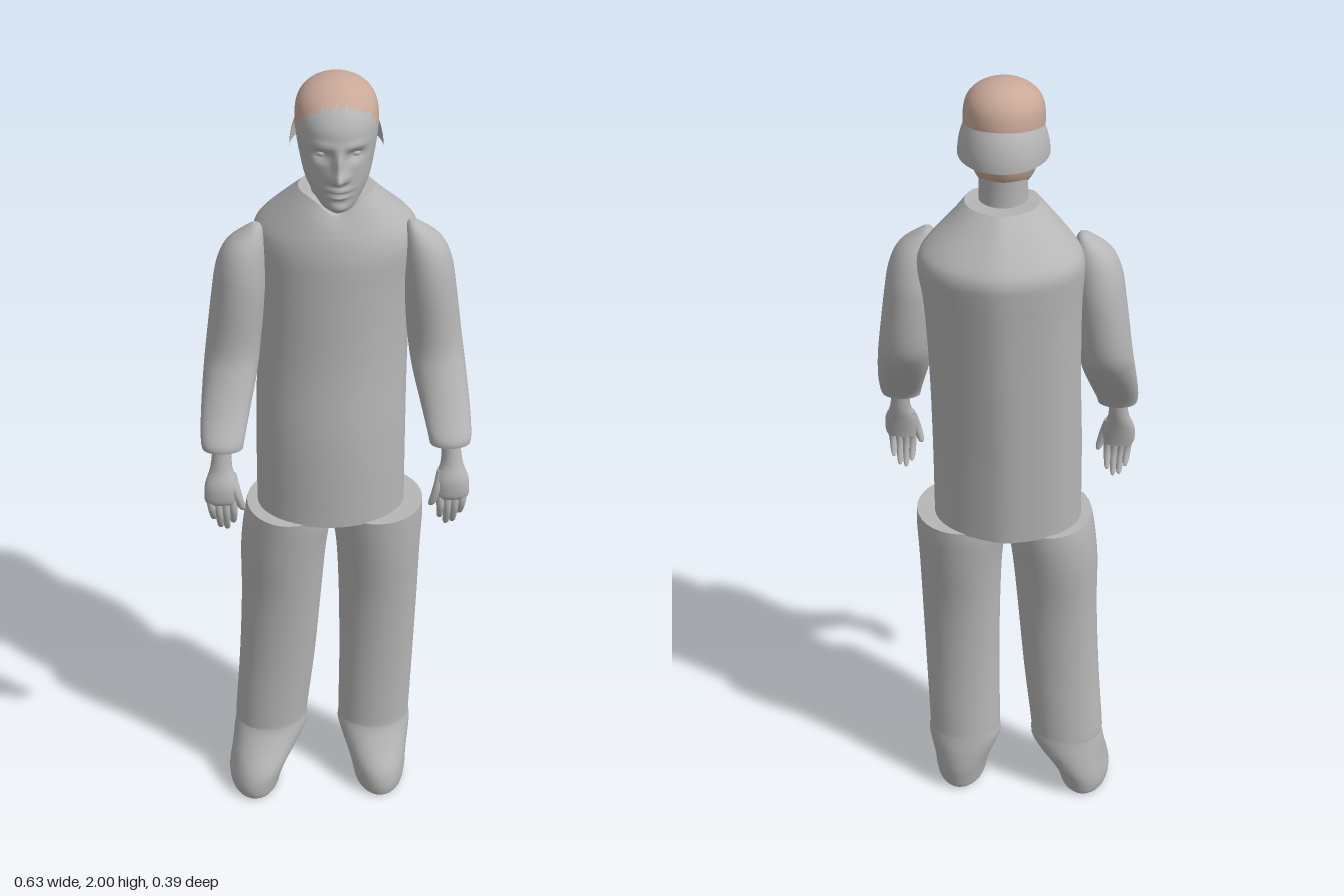
import * as THREE from 'three';

const grey = new THREE.MeshStandardMaterial({ color: 0xb6b6b6, side: THREE.DoubleSide });
grey.name = 'plain grey';
const hairTone = new THREE.MeshStandardMaterial({ color: 0xc9a898, side: THREE.DoubleSide });
hairTone.name = 'hair tan';

// Smooth interpolation through the stations at position i + f
function spline(st, i, f) {
  const at = (k) => st[Math.min(Math.max(k, 0), st.length - 1)];
  const [a, b, c, d] = [at(i - 1), at(i), at(i + 1), at(i + 2)];
  return b.map((_, k) => {
    const m0 = (c[k] - a[k]) / 2, m1 = (d[k] - b[k]) / 2;
    const f2 = f * f, f3 = f2 * f;
    return (2 * f3 - 3 * f2 + 1) * b[k] + (f3 - 2 * f2 + f) * m0
      + (3 * f2 - 2 * f3) * c[k] + (f3 - f2) * m1;
  });
}

// Closed body through level rings listed upward: [y, xMin, xMax, zBack, zFront].
// warp moves each point; isHair sorts faces into the second material.
function loft(name, st, { seg = 32, steps = 4, warp, isHair } = {}) {
  const rows = [];
  for (let i = 0; i < st.length - 1; i++)
    for (let s = 0; s < steps; s++) rows.push(spline(st, i, s / steps));
  rows.push(st[st.length - 1]);
  const pts = [];
  for (const [y, xl, xr, zb, zf] of rows) {
    for (let j = 0; j < seg; j++) {
      const t = (j / seg) * Math.PI * 2;
      const p = new THREE.Vector3(
        (xl + xr) / 2 + Math.sin(t) * (xr - xl) / 2, y,
        (zb + zf) / 2 + Math.cos(t) * (zf - zb) / 2);
      if (warp) warp(p, t);
      pts.push(p);
    }
  }
  const plain = [], hair = [];
  for (let i = 0; i < rows.length - 1; i++) {
    for (let j = 0; j < seg; j++) {
      const a = i * seg + j, b = i * seg + (j + 1) % seg, c = b + seg, d = a + seg;
      const mid = pts[a].clone().add(pts[c]).multiplyScalar(0.5);
      (isHair && isHair(mid) ? hair : plain).push(a, b, c, a, c, d);
    }
  }
  // End discs with their own vertices keep the rims sharp
  for (const top of [false, true]) {
    const from = top ? (rows.length - 1) * seg : 0;
    const rim = pts.slice(from, from + seg).map((p) => p.clone());
    const centre = rim.reduce((m, p) => m.addScaledVector(p, 1 / seg), new THREE.Vector3());
    const o = pts.length;
    pts.push(...rim, centre);
    for (let j = 0; j < seg; j++) {
      const k = (j + 1) % seg;
      const list = top && isHair ? hair : plain;
      list.push(o + seg, o + (top ? j : k), o + (top ? k : j));
    }
  }
  const geo = new THREE.BufferGeometry().setFromPoints(pts);
  geo.setIndex([...plain, ...hair]);
  geo.computeVertexNormals();
  geo.addGroup(0, plain.length, 0);
  geo.addGroup(plain.length, hair.length, 1);
  const mesh = new THREE.Mesh(geo, isHair ? [grey, hairTone] : grey);
  mesh.name = name;
  return mesh;
}

const bump = (x, y, cx, cy, sx, sy) => Math.exp(-(((x - cx) / sx) ** 2) - ((y - cy) / sy) ** 2);

function makeHead() {
  const head = new THREE.Group();
  head.name = 'head';
  // Skull and face, modelled around x = 0
  const skull = [
    [1.722, -0.02, 0.02, 0.07, 0.125], [1.735, -0.038, 0.038, 0.045, 0.138],
    [1.76, -0.058, 0.058, -0.015, 0.143], [1.79, -0.072, 0.072, -0.045, 0.146],
    [1.83, -0.081, 0.081, -0.06, 0.148], [1.88, -0.089, 0.089, -0.068, 0.15],
    [1.92, -0.091, 0.091, -0.07, 0.146], [1.955, -0.084, 0.084, -0.062, 0.125],
    [1.98, -0.064, 0.064, -0.042, 0.095], [1.995, -0.034, 0.034, -0.012, 0.062],
    [2.0, -0.008, 0.008, 0.015, 0.035]];
  head.add(loft('face and hair', skull, {
    seg: 96, steps: 6,
    warp: (p) => {
      if (p.z < 0.06) return;
      const x = Math.abs(p.x), y = p.y;
      p.z += 0.036 * bump(x, y, 0, 1.817, 0.013, 0.013)      // nose tip
        + 0.02 * bump(x, y, 0, 1.845, 0.01, 0.026)           // nose bridge
        + 0.008 * bump(x, y, 0.017, 1.812, 0.008, 0.009)     // nostrils
        - 0.017 * bump(x, y, 0.036, 1.862, 0.019, 0.012)     // eye sockets
        + 0.006 * bump(x, y, 0.034, 1.885, 0.028, 0.008)     // brows
        + 0.011 * bump(x, y, 0, 1.784, 0.024, 0.006)         // upper lip
        + 0.009 * bump(x, y, 0, 1.768, 0.021, 0.006)         // lower lip
        - 0.004 * bump(x, y, 0, 1.776, 0.03, 0.003)          // mouth line
        + 0.007 * bump(x, y, 0, 1.739, 0.022, 0.012);        // chin
    },
    isHair: ({ x, y, z }) => {
      const strand = 0.004 * Math.sin(x * 260) + 0.003 * Math.sin(x * 610);
      if (y > 1.955) return z < 0.115 + strand;
      if (y > 1.86) return z < 0.03 + (y - 1.86) * 0.9 + strand;
      return y > 1.757 && z < 0.0;
    },
  }));
  for (const s of [-1, 1]) {
    const eye = new THREE.Mesh(new THREE.SphereGeometry(0.011, 16, 12), grey);
    eye.name = 'eye';
    eye.scale.set(1.15, 0.75, 1);
    eye.position.set(s * 0.036, 1.862, 0.118);
    head.add(eye);
  }
  // Half shell around the back of the head
  const shell = new THREE.Mesh(
    new THREE.SphereGeometry(1, 32, 16, Math.PI, Math.PI, 0, Math.PI / 2), grey);
  shell.name = 'rear head band';
  shell.scale.set(0.103, 0.137, 0.125);
  shell.position.set(0, 1.833, 0.028);
  head.add(shell);
  head.add(loft('neck', [
    [1.66, -0.062, 0.062, -0.05, 0.075], [1.72, -0.056, 0.056, -0.042, 0.068],
    [1.8, -0.055, 0.055, -0.045, 0.07]]));
  head.position.x = 0.012;
  return head;
}

// Arm in the +x position; the other is its mirror
function makeArm(name, side) {
  const arm = new THREE.Group();
  arm.name = name;
  arm.add(loft('sleeve', [
    [1.125, 0.218, 0.313, 0.102, 0.164], [1.145, 0.214, 0.316, 0.09, 0.162],
    [1.2, 0.2, 0.314, 0.047, 0.13], [1.28, 0.18, 0.306, -0.015, 0.096],
    [1.35, 0.17, 0.297, -0.05, 0.08], [1.48, 0.156, 0.28, -0.06, 0.084],
    [1.55, 0.154, 0.268, -0.052, 0.08], [1.6, 0.156, 0.245, -0.035, 0.066],
    [1.635, 0.162, 0.2, -0.01, 0.04], [1.645, 0.17, 0.182, 0.005, 0.025]]));
  arm.add(loft('palm', [
    [0.985, 0.236, 0.306, 0.145, 0.172], [1.0, 0.232, 0.312, 0.142, 0.18],
    [1.04, 0.232, 0.31, 0.132, 0.18], [1.08, 0.245, 0.296, 0.12, 0.166],
    [1.14, 0.245, 0.288, 0.11, 0.155]], { seg: 20 }));
  const finger = (label, x0, y0, z0, x1, y1, z1, r) => {
    // From the fingertip (1) up to the knuckle (0), bowed forward
    const st = [0, 0.06, 0.2, 0.6, 1].map((f, i) => {
      const w = r * [0.3, 0.65, 0.85, 1, 1.1][i];
      const x = x1 + (x0 - x1) * f, z = z1 + (z0 - z1) * f + 0.045 * f * (1 - f);
      return [y1 + (y0 - y1) * f, x - w, x + w, z - w, z + w];
    });
    arm.add(loft(label, st, { seg: 12, steps: 3 }));
  };
  [0.918, 0.9, 0.905, 0.93].forEach((tip, i) =>
    finger('finger', 0.244 + i * 0.018, 1.0, 0.162, 0.246 + i * 0.015, tip, 0.142, 0.0095));
  finger('thumb', 0.248, 1.06, 0.15, 0.222, 0.965, 0.158, 0.0115);
  arm.scale.x = side;
  arm.position.x = 0.008;
  return arm;
}

// Leg in the +x position: inner and outer edges top to bottom, shoe drift outward
function makeLeg(name, side, inner, outer, toe) {
  const leg = new THREE.Group();
  leg.name = name;
  const ys = [0.19, 0.22, 0.4, 0.6, 0.75, 0.84, 0.885];
  const zs = [[-0.086, 0.072], [-0.084, 0.071], [-0.076, 0.075], [-0.084, 0.09],
    [-0.106, 0.11], [-0.118, 0.12], [-0.12, 0.124]];
  leg.add(loft('trouser leg', ys.map((y, i) => [y, inner[i], outer[i], ...zs[i]])));
  const ankle = (inner[0] + outer[0]) / 2;
  const shoe = [
    [0, 1, 0.054, -0.062, 0.122], [0.008, 1, 0.064, -0.074, 0.132],
    [0.04, 0.95, 0.07, -0.082, 0.136], [0.08, 0.7, 0.076, -0.088, 0.126],
    [0.13, 0.3, 0.088, -0.086, 0.09], [0.17, 0.05, 0.095, -0.08, 0.066],
    [0.2, 0, 0.09, -0.076, 0.058]];
  leg.add(loft('shoe', shoe.map(([y, f, r, zb, zf]) => {
    const c = ankle + (toe - ankle) * f;
    return [y, c - r, c + r, zb, zf];
  })));
  leg.scale.x = side;
  return leg;
}

export function createModel() {
  const model = new THREE.Group();
  model.name = 'standing man';
  // Long jacket with a collar dipping at the front
  model.add(loft('jacket', [
    [0.882, -0.18, 0.18, -0.138, 0.128], [1.1, -0.178, 0.18, -0.152, 0.128],
    [1.3, -0.172, 0.182, -0.168, 0.115], [1.48, -0.172, 0.19, -0.184, 0.114],
    [1.57, -0.176, 0.202, -0.193, 0.114], [1.61, -0.174, 0.2, -0.194, 0.11],
    [1.64, -0.158, 0.182, -0.178, 0.104], [1.69, -0.11, 0.132, -0.128, 0.093],
    [1.728, -0.072, 0.098, -0.086, 0.08]], {
    seg: 48,
    warp: (p, t) => {
      const rise = Math.max(0, (p.y - 1.64) / 0.088);
      p.y -= 0.04 * rise * Math.max(0, Math.cos(t)) ** 8;
      p.z -= 0.006 * Math.max(0, -Math.cos(t)) ** 40;
    },
  }));
  model.add(makeHead());
  model.add(makeArm('left arm', 1), makeArm('right arm', -1));
  model.add(makeLeg('left leg', 1,
    [0.02, 0.02, 0.022, 0.02, 0.014, 0.002, 0],
    [0.205, 0.206, 0.212, 0.218, 0.222, 0.226, 0.225], 0.126));
  model.add(makeLeg('right leg', -1,
    [0.063, 0.062, 0.042, 0.025, 0.012, 0, 0],
    [0.25, 0.25, 0.236, 0.226, 0.224, 0.215, 0.206], 0.205));
  return model;
}
